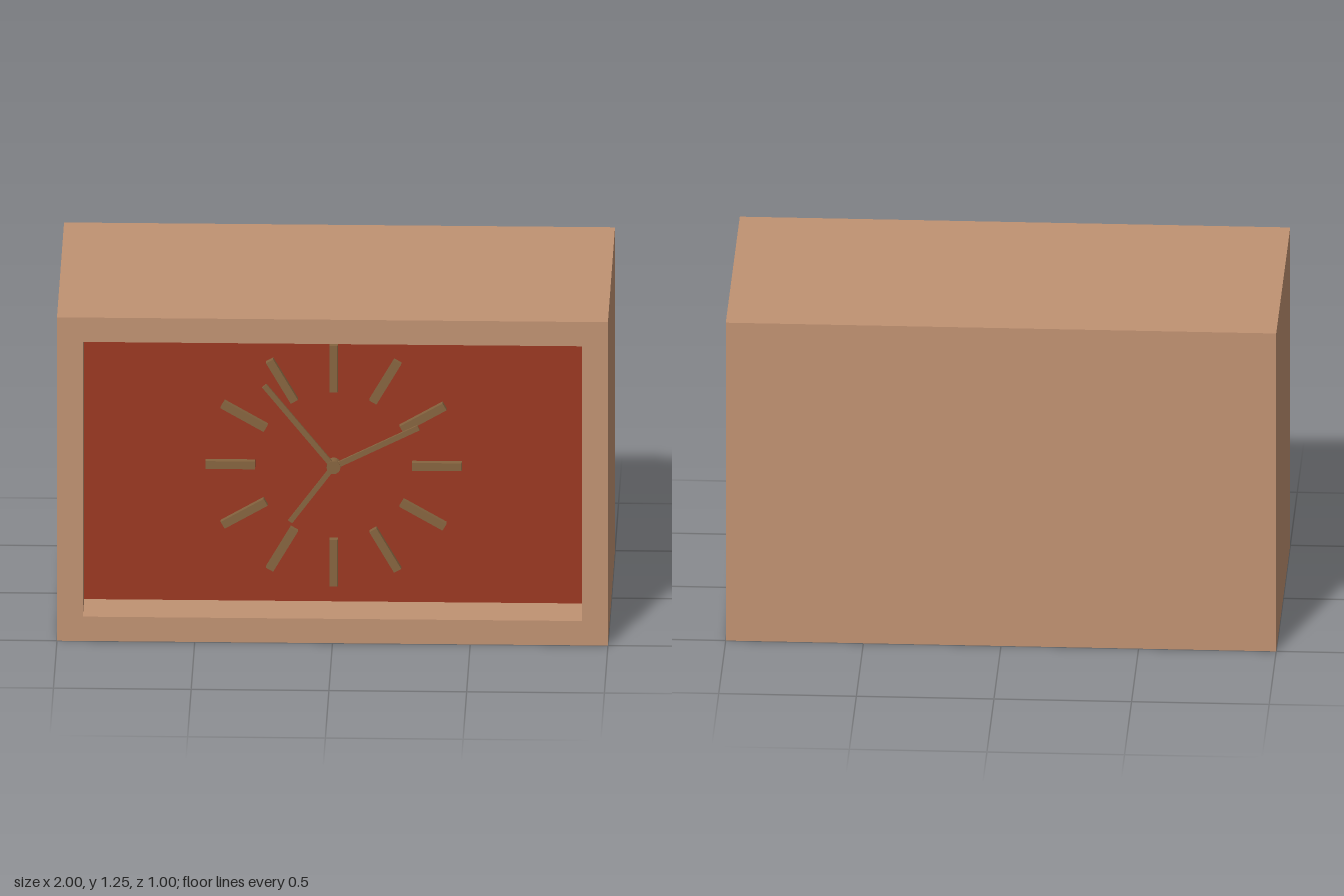
import * as THREE from 'three';

export function createModel() {
  const wood = new THREE.MeshStandardMaterial({ color: 0xc09272 });
  wood.name = 'light wood';
  const red = new THREE.MeshStandardMaterial({ color: 0x9a3821 });
  red.name = 'dial red';
  const brass = new THREE.MeshStandardMaterial({ color: 0x86643f });
  brass.name = 'dull brass';

  const W = 2, H = 1.25, D = 1, RIM = 0.094, RECESS = 0.185;
  const dialZ = D / 2 - RECESS;
  const clock = new THREE.Group();
  clock.name = 'mantelClock';

  const add = (parent, name, geometry, material, x = 0, y = 0, z = 0) => {
    const mesh = new THREE.Mesh(geometry, material);
    mesh.name = name;
    mesh.position.set(x, y, z);
    parent.add(mesh);
    return mesh;
  };
  const rect = (target, w, h) => target
    .moveTo(-w / 2, -h / 2).lineTo(w / 2, -h / 2)
    .lineTo(w / 2, h / 2).lineTo(-w / 2, h / 2).closePath();

  // Case: a box open at the front, closed by a back panel
  const outline = rect(new THREE.Shape(), W, H);
  outline.holes.push(rect(new THREE.Path(), W - 2 * RIM, H - 2 * RIM));
  const backDepth = 0.05;
  add(clock, 'caseFrame', new THREE.ExtrudeGeometry(outline, { depth: D - backDepth, bevelEnabled: false }),
    wood, 0, H / 2, -D / 2 + backDepth);
  add(clock, 'backPanel', new THREE.BoxGeometry(W, H, backDepth), wood, 0, H / 2, -D / 2 + backDepth / 2);

  // Recessed dial
  add(clock, 'dial', new THREE.BoxGeometry(W - 2 * RIM, H - 2 * RIM, 0.008), red, 0, H / 2, dialZ - 0.004);

  const face = new THREE.Group();
  face.name = 'dialFittings';
  face.position.set(0, H / 2, dialZ);
  clock.add(face);

  // Radial bar from r0 to r1, at an angle clockwise from twelve
  const bar = (name, angle, r0, r1, width, depth, z) => {
    const geometry = new THREE.BoxGeometry(width, r1 - r0, depth);
    geometry.translate(0, (r0 + r1) / 2, 0);
    add(face, name, geometry, brass, 0, 0, z).rotation.z = -angle;
  };

  // Twelve hour markers
  for (let i = 0; i < 12; i++) bar('hourMarker', i * Math.PI / 6, 0.285, 0.465, 0.03, 0.024, 0.012);

  // Three hands and their hub
  bar('minuteHand', Math.atan2(-0.25, 0.31), 0, 0.4, 0.02, 0.01, 0.031);
  bar('hourHand', Math.atan2(0.31, 0.155), 0, 0.345, 0.02, 0.01, 0.03);
  bar('alarmHand', Math.atan2(-0.155, -0.21), 0, 0.265, 0.018, 0.01, 0.029);
  const hub = new THREE.CylinderGeometry(0.025, 0.025, 0.04, 16);
  hub.rotateX(Math.PI / 2);
  add(face, 'hub', hub, brass, 0, 0, 0.02);

  return clock;
}
